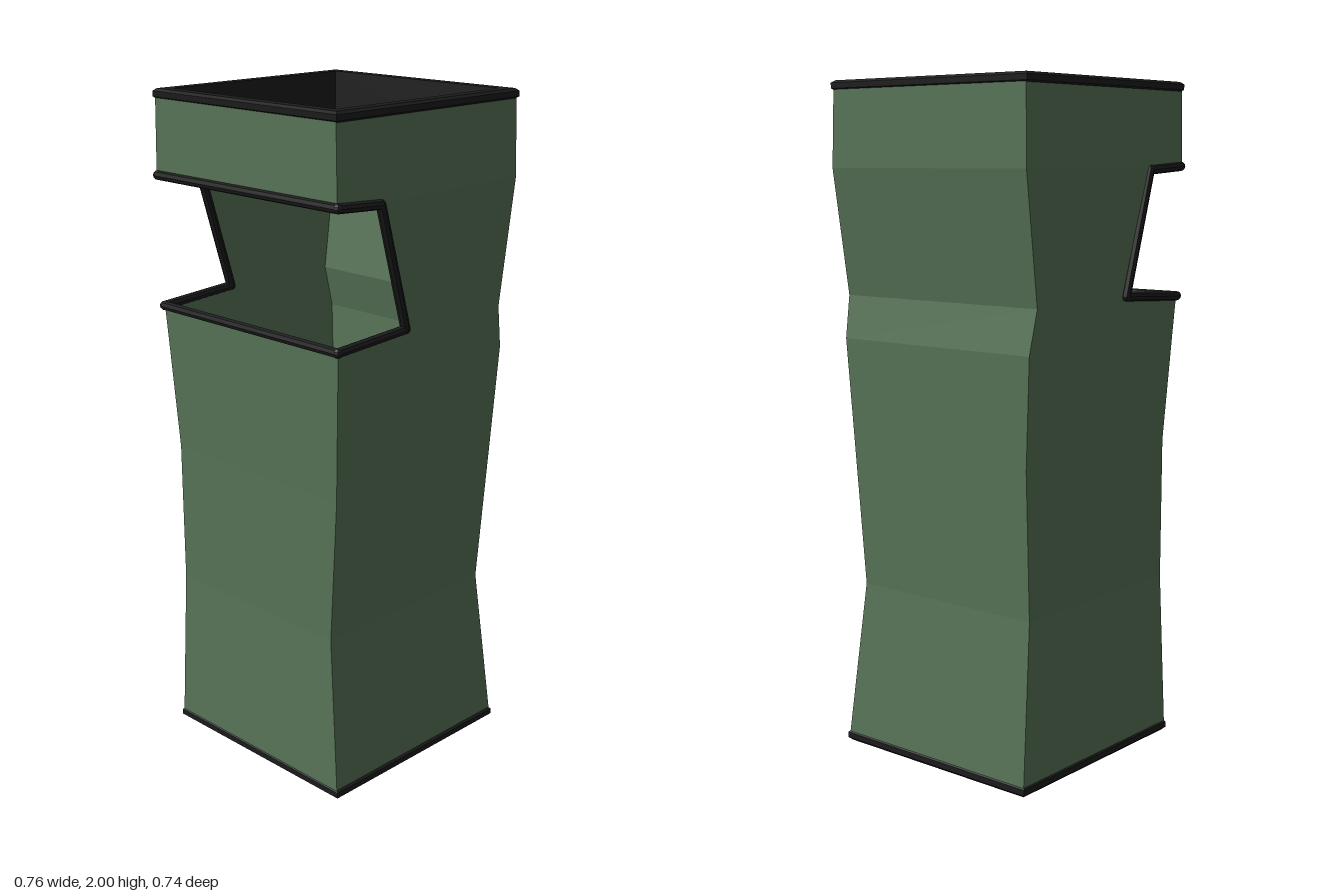
import * as THREE from 'three';

const green = new THREE.MeshStandardMaterial({ color: 0x587558, flatShading: true, side: THREE.DoubleSide });
const black = new THREE.MeshStandardMaterial({ color: 0x1c1c1c, flatShading: true, side: THREE.DoubleSide });

// Cross-sections of the slightly dented body: y, left x, right x, back z, front z
const SECTIONS = [
  [0.02, -0.35, 0.345, -0.353, 0.345],
  [0.5, -0.335, 0.306, -0.31, 0.331],
  [0.93, -0.333, 0.333, -0.323, 0.335],
  [1.25, -0.352, 0.352, -0.334, 0.35],
  [1.377, -0.36, 0.36, -0.31, 0.356],
  [1.75, -0.369, 0.361, -0.368, 0.361],
  [1.985, -0.364, 0.355, -0.364, 0.36],
];
const OPENING = 4; // the strip above this section is cut open
const CUT = [0.09, 0.2]; // z of the side cut at the bottom and top of the opening

// Four walls, strip by strip; the opening removes the front and part of the sides
function bodyGeometry() {
  const pos = [];
  const quad = (a, b, c, d) => pos.push(...a, ...b, ...c, ...a, ...c, ...d);
  for (let i = 0; i < SECTIONS.length - 1; i++) {
    const [y0, l0, r0, b0, f0] = SECTIONS[i];
    const [y1, l1, r1, b1, f1] = SECTIONS[i + 1];
    const open = i === OPENING;
    const [s0, s1] = open ? CUT : [f0, f1];
    quad([r0, y0, b0], [l0, y0, b0], [l1, y1, b1], [r1, y1, b1]);
    quad([r0, y0, s0], [r0, y0, b0], [r1, y1, b1], [r1, y1, s1]);
    quad([l0, y0, b0], [l0, y0, s0], [l1, y1, s1], [l1, y1, b1]);
    if (!open) quad([l0, y0, f0], [r0, y0, f0], [r1, y1, f1], [l1, y1, f1]);
  }
  const g = new THREE.BufferGeometry();
  g.setAttribute('position', new THREE.Float32BufferAttribute(pos, 3));
  g.computeVertexNormals();
  return g;
}

// Square turned form from [half width, y] pairs
function squareForm(name, profile) {
  const pts = profile.map(([h, y]) => new THREE.Vector2(h * Math.SQRT2, y));
  const mesh = new THREE.Mesh(new THREE.LatheGeometry(pts, 4, Math.PI / 4), black);
  mesh.name = name;
  return mesh;
}

// Round edging along a closed loop of points
function edging(points, radius) {
  const group = new THREE.Group();
  group.name = 'openingTrim';
  points.forEach((p, i) => {
    const q = points[(i + 1) % points.length];
    const dir = q.clone().sub(p);
    const bar = new THREE.Mesh(new THREE.CylinderGeometry(radius, radius, dir.length(), 8), black);
    bar.name = 'trimBar';
    bar.position.copy(p).lerp(q, 0.5);
    bar.quaternion.setFromUnitVectors(new THREE.Vector3(0, 1, 0), dir.normalize());
    const joint = new THREE.Mesh(new THREE.SphereGeometry(radius, 8, 6), black);
    joint.name = 'trimCorner';
    joint.position.copy(p);
    group.add(bar, joint);
  });
  return group;
}

export function createModel() {
  const model = new THREE.Group();
  model.name = 'litterBin';

  const body = new THREE.Mesh(bodyGeometry(), green);
  body.name = 'body';

  // Base plate
  const base = squareForm('basePlate', [[0, 0], [0.342, 0], [0.352, 0.009], [0.352, 0.026], [0.342, 0.035], [0, 0.035]]);
  base.position.set(-0.002, 0, -0.004);

  // Top rim with a sunken tray
  const tray = squareForm('topTray', [
    [0.357, 1.97], [0.366, 1.977], [0.366, 1.993], [0.357, 2], [0.324, 2], [0.304, 1.82], [0, 1.82],
  ]);
  tray.position.set(-0.004, 0, -0.002);

  // Edging round the opening: right side down, then left side up
  const side = [[0.362, 1.755, 0.36], [0.363, 1.745, 0.2], [0.36, 1.385, 0.093], [0.358, 1.37, 0.356]];
  const right = side.map(([x, y, z]) => new THREE.Vector3(x, y, z));
  const left = side.map(([x, y, z]) => new THREE.Vector3(-x - 0.003, y, z)).reverse();

  model.add(body, base, tray, edging([...right, ...left], 0.014));
  return model;
}
